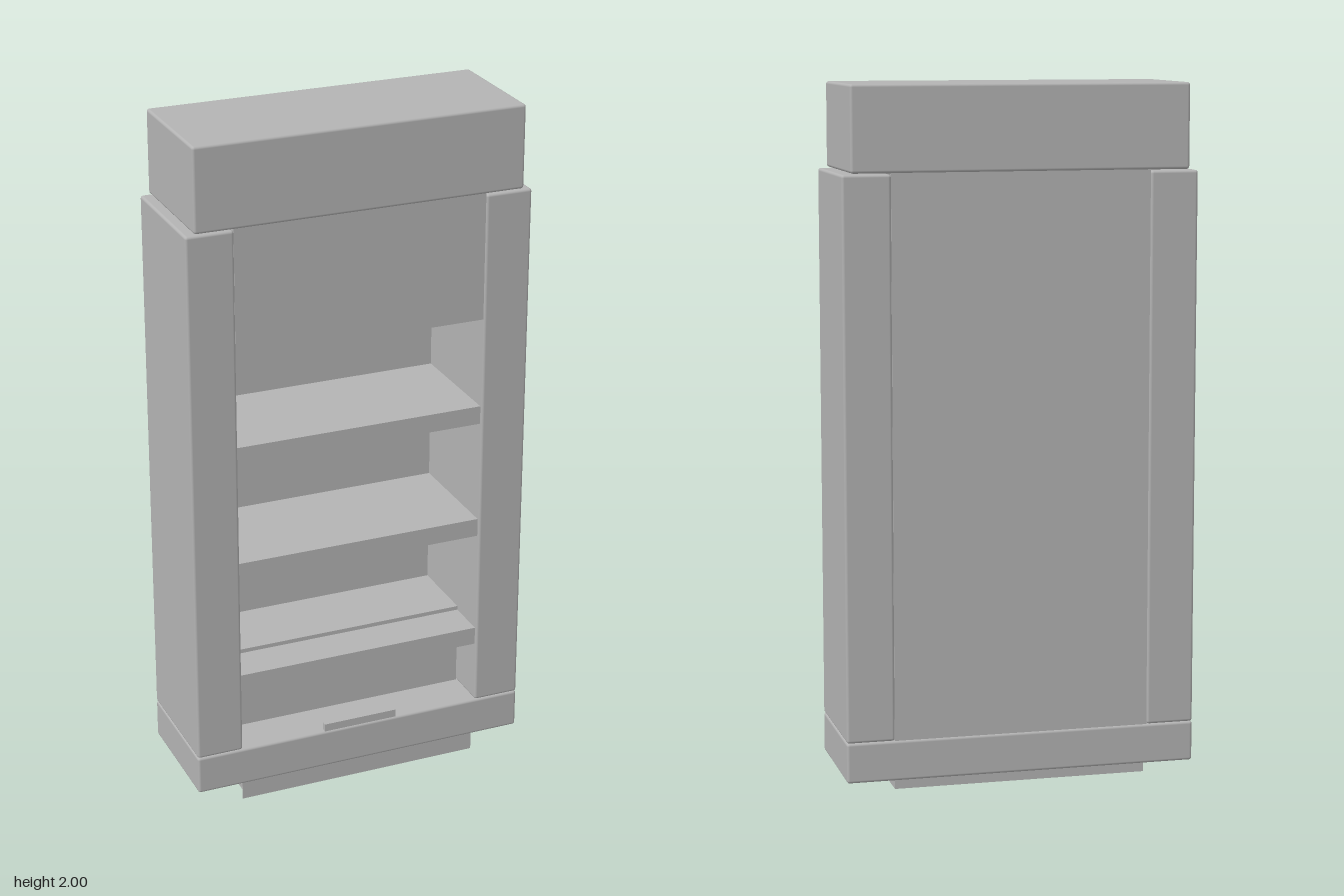
import * as THREE from 'three';
import { RoundedBoxGeometry } from 'three/addons/geometries/RoundedBoxGeometry.js';

export function createModel() {
  const model = new THREE.Group();
  const grey = new THREE.MeshStandardMaterial({ color: 0xb3b3b3 });
  grey.name = 'grey';

  // Box given by its extents; a bevel rounds the edges.
  function box(name, [x0, x1], [y0, y1], [z0, z1], bevel = 0) {
    const w = x1 - x0, h = y1 - y0, d = z1 - z0;
    const geometry = bevel
      ? new RoundedBoxGeometry(w, h, d, 2, bevel)
      : new THREE.BoxGeometry(w, h, d);
    const mesh = new THREE.Mesh(geometry, grey);
    mesh.name = name;
    mesh.position.set((x0 + x1) / 2, (y0 + y1) / 2, (z0 + z1) / 2);
    model.add(mesh);
  }

  const depth = [-0.182, 0.182];
  const inner = [-0.368, 0.368];

  // Outer body
  box('topBox', [-0.48, 0.48], [1.76, 2], depth, 0.008);
  box('base', [-0.505, 0.505], [0.06, 0.175], depth, 0.008);
  box('leftPost', [0.368, 0.505], [0.175, 1.757], depth, 0.008);
  box('rightPost', [-0.505, -0.368], [0.175, 1.757], depth, 0.008);

  // Panels closing the back and the top of the opening
  box('backPanel', inner, [0.17, 1.765], [-0.177, -0.165]);
  box('headerPanel', inner, [1.39, 1.765], [0.155, 0.177]);

  // Shelves
  for (const y of [0.715, 1.07]) {
    box('shelf', inner, [y, y + 0.054], [-0.166, 0.172]);
  }
  box('lowerShelf', inner, [0.36, 0.413], [-0.166, 0.172]);

  // Raised compartment behind the lower shelf front
  box('lowerCompartment', inner, [0.17, 0.425], [-0.166, 0.05]);

  // Small catch on the front edge of the base
  box('catchPlate', [-0.112, 0.112], [0.17, 0.197], [0.165, 0.178]);

  // Recessed foot with a thin hanging kick plate
  box('foot', [-0.365, 0.365], [0.03, 0.065], [-0.16, 0.163]);
  box('kickPlate', [-0.365, 0.365], [0, 0.065], [0.162, 0.166]);

  return model;
}
